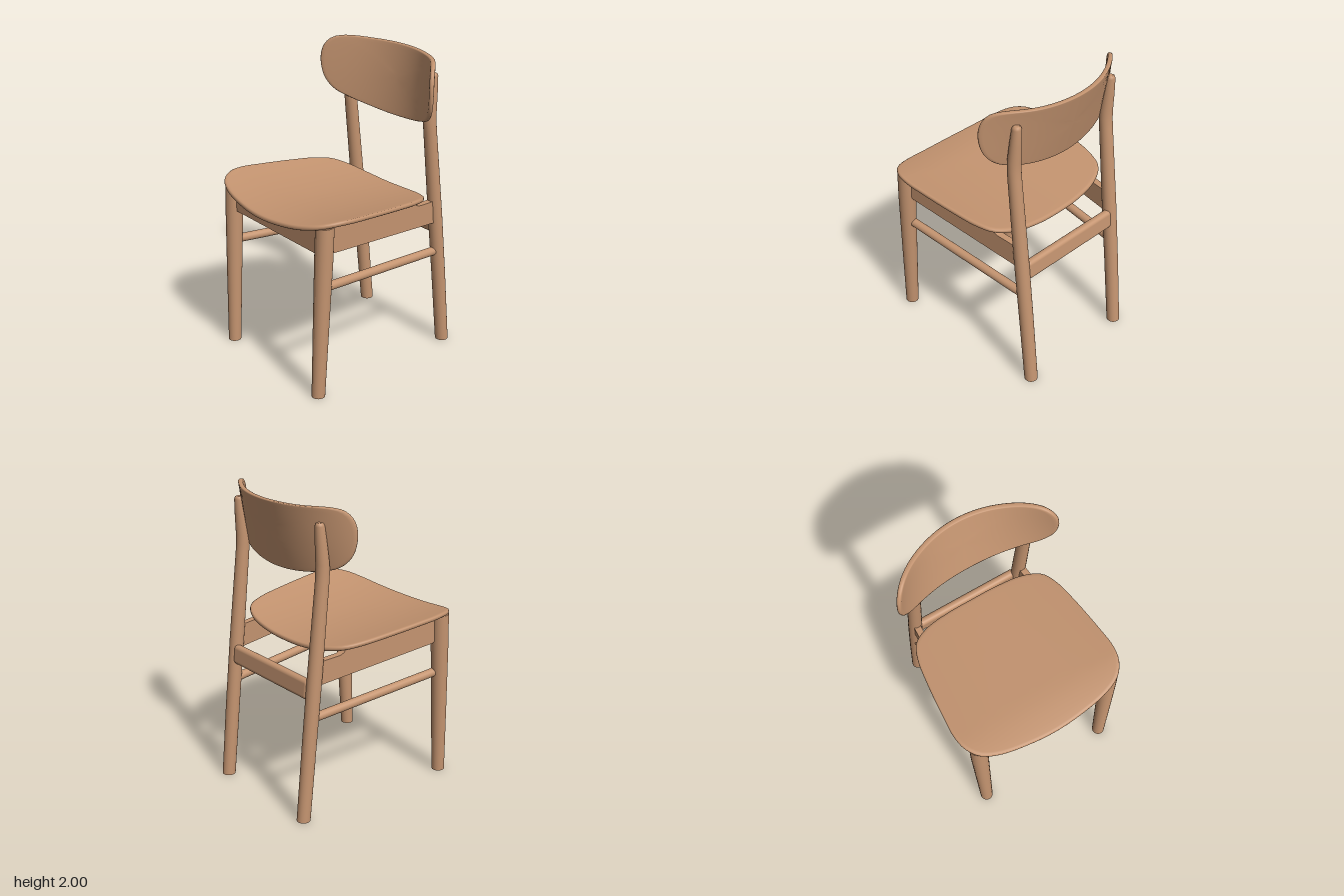
import * as THREE from 'three';
import { mergeVertices } from 'three/addons/utils/BufferGeometryUtils.js';
import { RoundedBoxGeometry } from 'three/addons/geometries/RoundedBoxGeometry.js';

const wood = new THREE.MeshStandardMaterial({ color: 0xc49470 });
wood.name = 'warm wood';

function part(name, geometry) {
  const mesh = new THREE.Mesh(geometry, wood);
  mesh.name = name;
  return mesh;
}

// Closed smooth outline from its right half, listed counter-clockwise from bottom centre to top centre
function mirroredOutline(half, count) {
  const left = half.slice(1, -1).reverse().map(([x, y]) => [-x, y]);
  const points = [...half, ...left].map(([x, y]) => new THREE.Vector3(x, y, 0));
  const curve = new THREE.CatmullRomCurve3(points, true, 'centripetal');
  return curve.getSpacedPoints(count).slice(0, count);
}

// Bent panel: rings run from the middle of one face, round the softened rim, to the middle of the other
function panel(outline, cx, cy, place) {
  const face = [0, 0.15, 0.3, 0.45, 0.6, 0.75, 0.88, 0.96];
  const rings = [
    ...face.map((s) => [s, 1]),
    [0.985, 0.97], [0.997, 0.8], [1, 0.5], [0.997, 0.2], [0.985, 0.03],
    ...face.slice().reverse().map((s) => [s, 0]),
  ];
  const n = outline.length;
  const positions = [];
  const index = [];
  rings.forEach(([s, t], i) => {
    outline.forEach((p, j) => {
      positions.push(...place(cx + (p.x - cx) * s, cy + (p.y - cy) * s, t));
      if (i === rings.length - 1) return;
      const k = (j + 1) % n;
      const a = i * n + j, b = a + n, c = (i + 1) * n + k, d = i * n + k;
      if (i > 0) index.push(a, c, d);
      if (i < rings.length - 2) index.push(a, b, c);
    });
  });
  let geometry = new THREE.BufferGeometry();
  geometry.setAttribute('position', new THREE.Float32BufferAttribute(positions, 3));
  geometry.setIndex(index);
  geometry = mergeVertices(geometry, 1e-5);
  geometry.computeVertexNormals();
  return geometry;
}

// Round leg through level rings given as [x, y, z, radius] from floor to top
function legGeometry(rows) {
  const last = rows.length - 1;
  const geometry = new THREE.CylinderGeometry(1, 1, last, 28, last);
  const pos = geometry.attributes.position;
  for (let i = 0; i < pos.count; i++) {
    const [x, y, z, r] = rows[Math.round(pos.getY(i) + last / 2)];
    pos.setXYZ(i, x + pos.getX(i) * r, y, z + pos.getZ(i) * r);
  }
  geometry.computeVertexNormals();
  return geometry;
}

// Straight round bar between two points
function bar(name, from, to, radius) {
  const a = new THREE.Vector3(...from);
  const b = new THREE.Vector3(...to);
  const mesh = part(name, new THREE.CylinderGeometry(radius, radius, a.distanceTo(b), 20));
  mesh.position.copy(a).add(b).multiplyScalar(0.5);
  mesh.quaternion.setFromUnitVectors(new THREE.Vector3(0, 1, 0), b.sub(a).normalize());
  return mesh;
}

// Side rail: notched profile in z and y, angled inward towards the back
function sideRailGeometry(side) {
  const shape = new THREE.Shape();
  shape.moveTo(0.47, 1.135);
  shape.lineTo(-0.27, 1.09);
  shape.quadraticCurveTo(-0.3, 1.06, -0.33, 1.06);
  shape.lineTo(-0.47, 1.055);
  shape.lineTo(-0.49, 0.9);
  shape.lineTo(0.41, 0.96);
  shape.quadraticCurveTo(0.44, 0.96, 0.44, 0.99);
  const depth = 0.045;
  const geometry = new THREE.ExtrudeGeometry(shape, { depth, bevelEnabled: false, curveSegments: 6 });
  const pos = geometry.attributes.position;
  for (let i = 0; i < pos.count; i++) {
    const z = pos.getX(i);
    const x = THREE.MathUtils.mapLinear(z, -0.48, 0.47, 0.4, 0.475);
    pos.setXYZ(i, side * x - (pos.getZ(i) - depth / 2), pos.getY(i), z);
  }
  geometry.computeVertexNormals();
  return geometry;
}

export function createModel() {
  const chair = new THREE.Group();
  chair.name = 'chair';

  // Dished seat, sloping down to the back
  const seatOutline = mirroredOutline([
    [0, -0.64], [0.2, -0.628], [0.4, -0.595], [0.51, -0.545], [0.57, -0.46], [0.588, -0.36],
    [0.58, -0.22], [0.555, 0.03], [0.525, 0.21], [0.475, 0.32], [0.36, 0.385], [0.18, 0.415], [0, 0.42],
  ], 112);
  chair.add(part('seat', panel(seatOutline, 0, -0.1, (x, v, t) => {
    const z = -v;
    const roll = 0.015 * Math.max(0, (z - 0.42) / 0.22) ** 2;
    const y = 1.128 + 0.07 * (x / 0.58) ** 2 + 0.053 * (Math.min(z, 0.42) - 0.42) - roll;
    return [x, y - 0.032 * (1 - t), z];
  })));

  // Backrest, curved more tightly at the top and leaning back in the middle
  const backOutline = mirroredOutline([
    [0, 1.552], [0.2, 1.565], [0.36, 1.594], [0.47, 1.635], [0.535, 1.71], [0.56, 1.83],
    [0.545, 1.93], [0.51, 1.98], [0.46, 1.998], [0.25, 1.998], [0, 1.998],
  ], 112);
  chair.add(part('backrest', panel(backOutline, 0, 1.79, (x, y, t) => {
    const k = (y - 1.55) / 0.45;
    const radius = 1 / THREE.MathUtils.lerp(1 / 1.015, 1 / 0.705, k);
    const reach = Math.sqrt(radius * radius - x * x);
    const offset = (0.03 * t) / radius;
    return [x - x * offset, y, -0.455 - 0.11 * k + radius - reach + reach * offset];
  })));

  // Legs, side rails and side stretchers
  for (const side of [1, -1]) {
    const hand = side > 0 ? 'left' : 'right';
    chair.add(part(`${hand} front leg`, legGeometry([
      [side * 0.474, 0, 0.535, 0.043], [side * 0.48, 0.5, 0.514, 0.051],
      [side * 0.485, 0.95, 0.494, 0.058], [side * 0.486, 1.15, 0.486, 0.058],
    ])));
    chair.add(part(`${hand} back leg`, legGeometry([
      [side * 0.403, 0, -0.592, 0.044], [side * 0.402, 0.5, -0.541, 0.046],
      [side * 0.4, 0.95, -0.492, 0.047], [side * 0.396, 1.54, -0.427, 0.043],
      [side * 0.395, 1.6, -0.422, 0.043], [side * 0.395, 1.66, -0.422, 0.042],
      [side * 0.395, 1.78, -0.432, 0.037], [side * 0.395, 1.89, -0.441, 0.03],
      [side * 0.395, 1.905, -0.442, 0.024], [side * 0.395, 1.91, -0.442, 0.015],
    ])));
    chair.add(part(`${hand} side rail`, sideRailGeometry(side)));
    chair.add(bar(`${hand} side stretcher`, [side * 0.475, 0.742, 0.5], [side * 0.4, 0.685, -0.51], 0.029));
  }

  // Front apron with a hollowed top edge
  const apron = new THREE.Shape();
  apron.moveTo(-0.46, 0.957);
  apron.lineTo(0.46, 0.957);
  apron.lineTo(0.46, 1.13);
  apron.quadraticCurveTo(0.28, 1.1, 0.14, 1.098);
  apron.quadraticCurveTo(0.08, 1.08, 0, 1.08);
  apron.quadraticCurveTo(-0.08, 1.08, -0.14, 1.098);
  apron.quadraticCurveTo(-0.28, 1.1, -0.46, 1.13);
  const apronGeometry = new THREE.ExtrudeGeometry(apron, { depth: 0.045, bevelEnabled: false });
  apronGeometry.translate(0, 0, 0.465);
  chair.add(part('front apron', apronGeometry));

  // Back rail, tilted with the back legs
  const backRail = part('back rail', new RoundedBoxGeometry(0.76, 0.13, 0.055, 4, 0.026));
  backRail.position.set(0, 0.867, -0.515);
  backRail.rotation.x = 0.106;
  chair.add(backRail);

  return chair;
}
